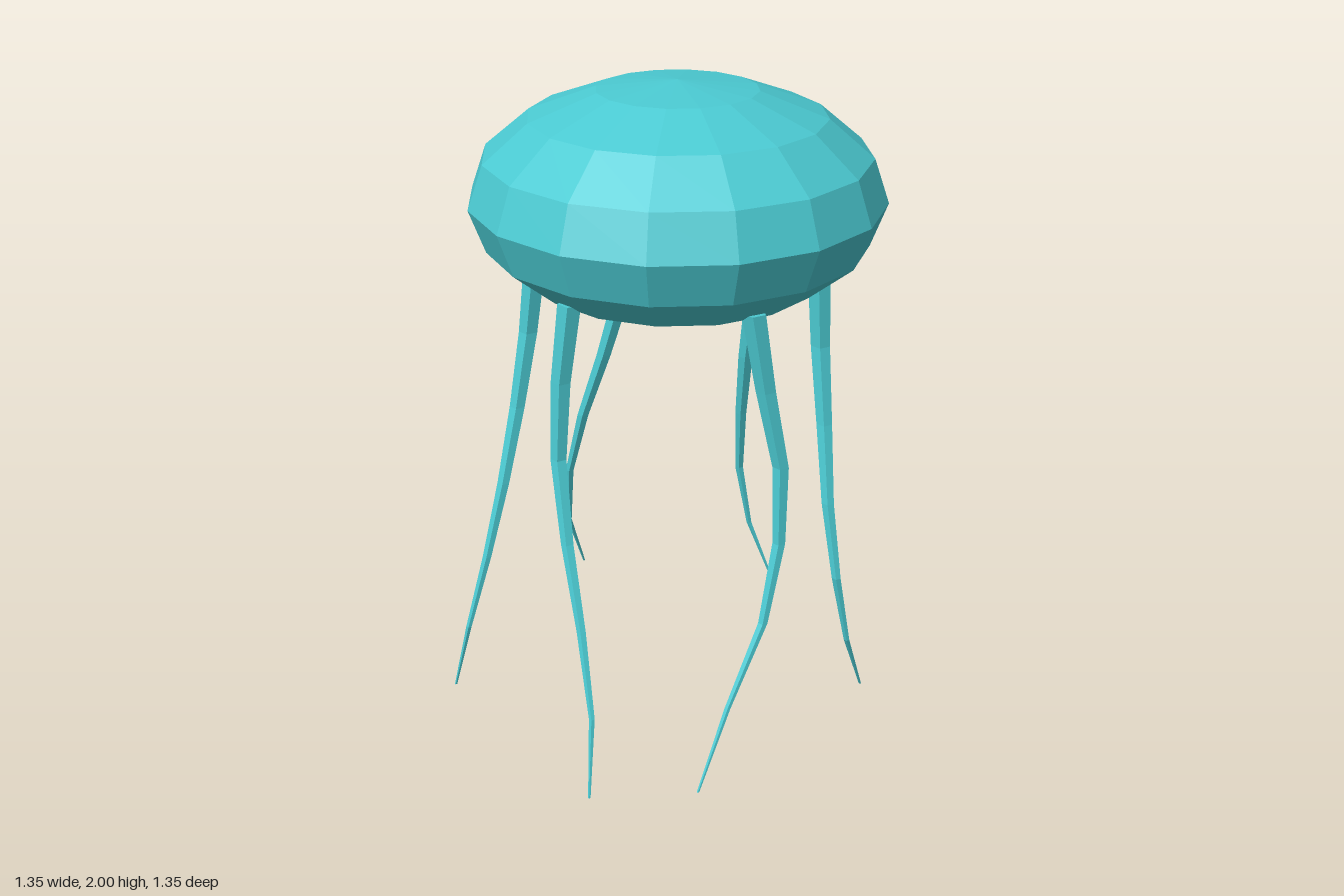
import * as THREE from 'three';

const TOP = 1.44;      // height of the tentacle roots
const STEPS = 6;       // segments along each tentacle

// Centre line of each tentacle as [x, z], from root to tip at even heights
const PATHS = {
  frontLeftTentacle: [[0.3, 0.29], [0.34, 0.28], [0.39, 0.28], [0.395, 0.31], [0.36, 0.38], [0.27, 0.49], [0.195, 0.6]],
  frontRightTentacle: [[-0.22, 0.29], [-0.25, 0.3], [-0.26, 0.32], [-0.225, 0.4], [-0.17, 0.5], [-0.125, 0.6], [-0.125, 0.67]],
  leftTentacle: [[0.465, -0.08], [0.48, -0.07], [0.505, -0.02], [0.53, 0.05], [0.57, 0.1], [0.615, 0.085], [0.67, -0.015]],
  rightTentacle: [[-0.395, -0.06], [-0.425, -0.055], [-0.46, -0.01], [-0.5, 0.06], [-0.55, 0.125], [-0.61, 0.18], [-0.67, 0.175]],
  backLeftTentacle: [[0.255, -0.43], [0.245, -0.46], [0.22, -0.5], [0.205, -0.55], [0.2, -0.6], [0.24, -0.62], [0.33, -0.63]],
  backRightTentacle: [[-0.175, -0.43], [-0.19, -0.44], [-0.26, -0.45], [-0.34, -0.46], [-0.4, -0.49], [-0.42, -0.55], [-0.39, -0.655]],
};

// Tapering five-sided tube whose rings are shifted onto the path
function tentacleGeometry(path) {
  const geometry = new THREE.CylinderGeometry(0.036, 0.004, TOP, 5, STEPS);
  geometry.translate(0, TOP / 2, 0);
  const p = geometry.attributes.position;
  for (let i = 0; i < p.count; i++) {
    const ring = Math.round((1 - p.getY(i) / TOP) * STEPS);
    const [x, z] = path[ring];
    p.setX(i, p.getX(i) + x);
    p.setZ(i, p.getZ(i) + z);
  }
  geometry.computeVertexNormals();
  return geometry;
}

export function createModel() {
  const group = new THREE.Group();
  group.name = 'jellyfish';
  const teal = new THREE.MeshStandardMaterial({ color: 0x4bcad2, flatShading: true });
  teal.name = 'teal';

  // Bell: a flattened faceted sphere
  const bellGeometry = new THREE.SphereGeometry(1, 16, 8);
  bellGeometry.scale(0.618, 0.34, 0.618);
  const bell = new THREE.Mesh(bellGeometry, teal);
  bell.name = 'bell';
  bell.position.set(0.038, 1.66, -0.06);
  group.add(bell);

  // Six trailing tentacles
  for (const [name, path] of Object.entries(PATHS)) {
    const tentacle = new THREE.Mesh(tentacleGeometry(path), teal);
    tentacle.name = name;
    group.add(tentacle);
  }
  return group;
}
